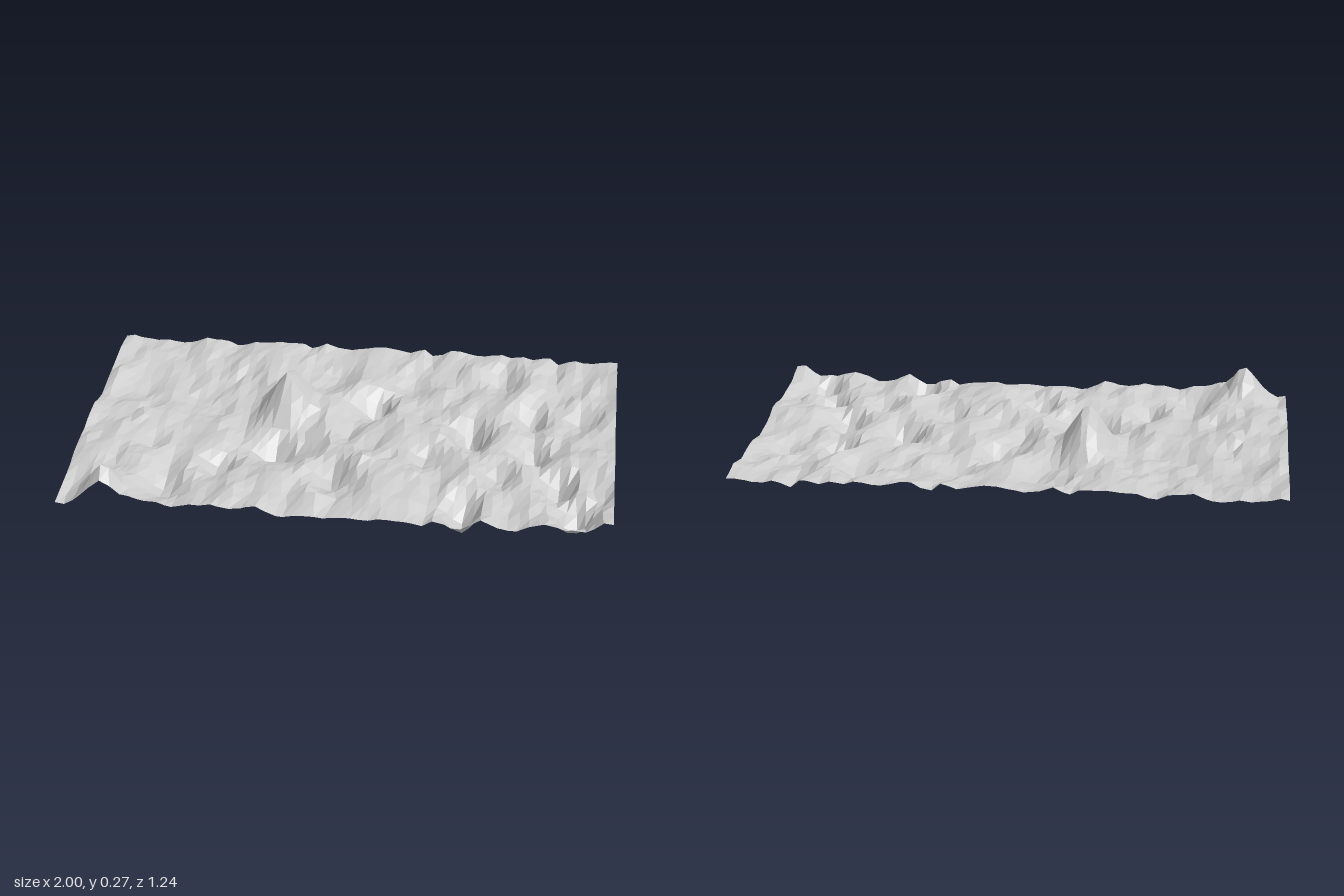
import * as THREE from 'three';

const COLS = 60, ROWS = 21;

// Peaks and hollows: x, z, height change, radius in x, radius in z
const features = [
  [-0.255, -0.085, 0.13, 0.076, 0.08], [-0.25, -0.20, 0.107, 0.075, 0.085],
  [-0.83, 0.56, 0.11, 0.06, 0.085], [0.07, 0.27, 0.045, 0.07, 0.09],
  [0.97, 0.60, 0.04, 0.05, 0.07],
  [0.45, -0.03, -0.127, 0.065, 0.085], [0.46, 0.53, -0.09, 0.06, 0.09],
  [0.08, -0.20, -0.09, 0.06, 0.08], [-0.27, 0.16, -0.105, 0.10, 0.085],
  [0.86, 0.50, -0.092, 0.065, 0.085], [0.80, 0.31, -0.10, 0.06, 0.075],
  [0.69, 0.10, -0.085, 0.06, 0.08], [0.68, -0.17, -0.09, 0.065, 0.085],
  [0.87, -0.20, -0.06, 0.055, 0.08], [-0.46, 0.30, -0.065, 0.07, 0.09],
  [-0.63, 0.46, -0.06, 0.06, 0.08], [-0.52, -0.12, -0.04, 0.07, 0.09],
  [-0.03, 0.36, -0.055, 0.065, 0.08], [0.20, -0.38, -0.045, 0.07, 0.08],
  [0.58, 0.28, -0.045, 0.06, 0.08], [0.30, 0.18, -0.04, 0.06, 0.08],
  [-0.10, -0.42, -0.04, 0.07, 0.08], [0.55, -0.44, -0.045, 0.07, 0.08],
];

// Repeatable value in -1..1 for a grid corner
function hash(i, j) {
  const s = Math.sin(i * 127.1 + j * 311.7) * 43758.5453;
  return 2 * (s - Math.floor(s)) - 1;
}

// Smooth value noise
function noise(x, z) {
  const i = Math.floor(x), j = Math.floor(z);
  const u = THREE.MathUtils.smoothstep(x - i, 0, 1);
  const v = THREE.MathUtils.smoothstep(z - j, 0, 1);
  const { lerp } = THREE.MathUtils;
  return lerp(lerp(hash(i, j), hash(i + 1, j), u), lerp(hash(i, j + 1), hash(i + 1, j + 1), u), v);
}

function heightAt(x, z) {
  // Named features; ripples die out where a feature is strong
  let relief = 0, open = 1;
  for (const [fx, fz, h, rx, rz] of features) {
    const g = Math.exp(-(((x - fx) / rx) ** 2) - ((z - fz) / rz) ** 2);
    relief += h * g;
    open *= 1 - g;
  }
  // Slanted ripples, levelling off towards the back edge
  const calm = THREE.MathUtils.smoothstep(z, -0.75, -0.3);
  const s = x + 0.12 * z;
  const ripple = (0.01 + 0.014 * calm) * noise(s * 10, z * 6) + 0.016 * noise(s * 20 + 40, z * 10);
  const base = 0.127 + 0.008 * (1 - calm);
  return Math.max(0, Math.min(base + ripple * open, 0.15) + relief);
}

export function createModel() {
  const group = new THREE.Group();
  group.name = 'terrain';

  // Rectangular sheet whose vertices are raised and nudged sideways
  const geometry = new THREE.PlaneGeometry(2, 1.235, COLS, ROWS).rotateX(-Math.PI / 2);
  const pos = geometry.attributes.position;
  for (let k = 0; k < pos.count; k++) {
    const x = pos.getX(k), z = pos.getZ(k);
    const col = k % (COLS + 1), row = Math.floor(k / (COLS + 1));
    const nudge = Math.abs(x) > 0.999 ? 0 : 0.009 * hash(col, row + 70);
    pos.setXYZ(k, x + nudge, heightAt(x + nudge, z), z);
  }
  geometry.computeVertexNormals();

  const ground = new THREE.Mesh(geometry, new THREE.MeshStandardMaterial({
    color: 0xcccccc, flatShading: true, side: THREE.DoubleSide,
  }));
  ground.name = 'ruggedGround';
  group.add(ground);
  return group;
}
